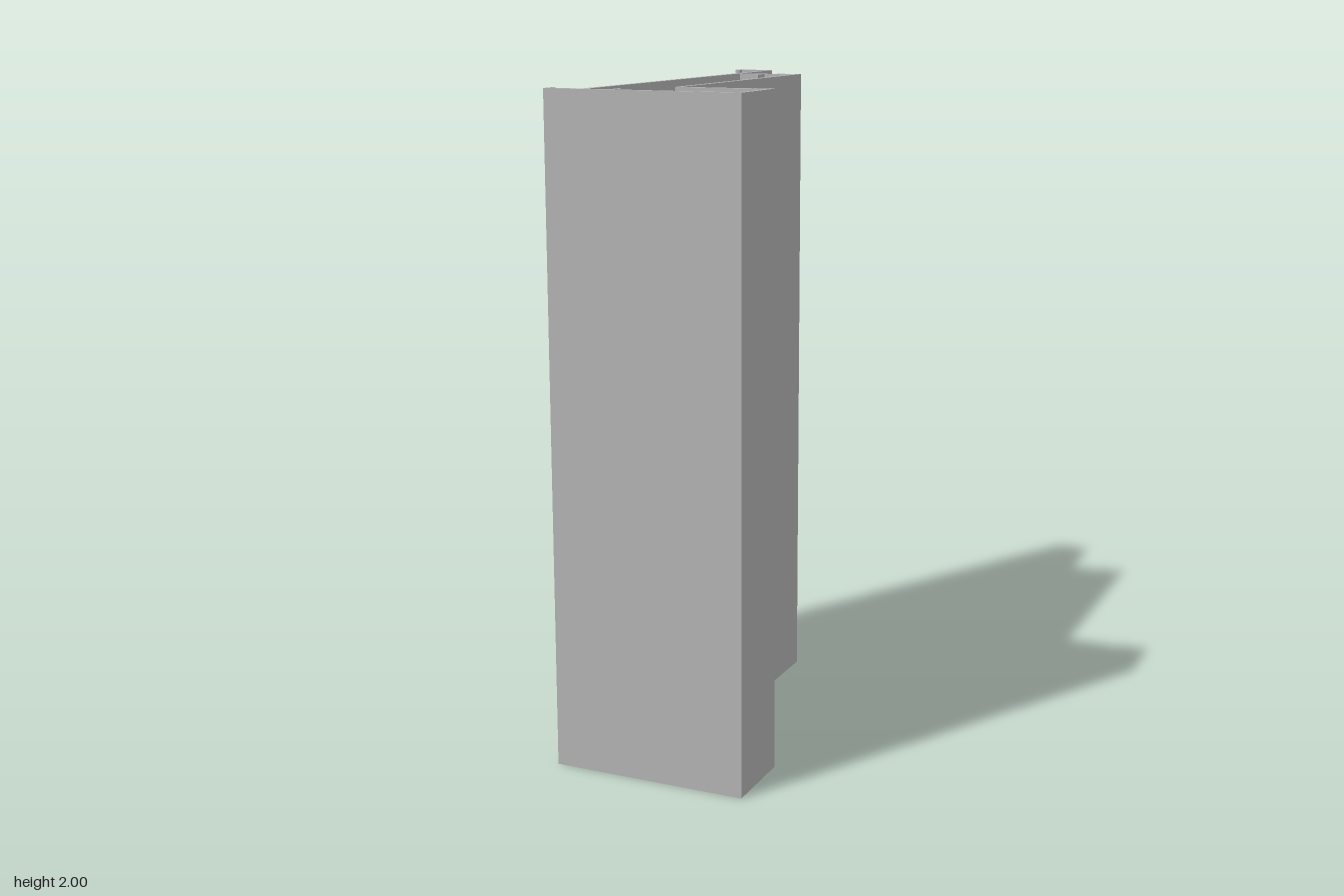
import * as THREE from 'three';
import { toCreasedNormals } from 'three/addons/utils/BufferGeometryUtils.js';

const HEIGHT = 2;

// Pair of facing clip hooks standing on a ledge at depth z, ending at the right edge
function clipHooks(right, z) {
  const left = right - 0.079, top = z - 0.025, under = z - 0.015;
  return [
    [left, z], [left, top], [left + 0.021, top], [left + 0.021, under], [left + 0.011, under], [left + 0.011, z],
    [right - 0.01, z], [right - 0.01, under], [right - 0.021, under], [right - 0.021, top], [right, top],
  ];
}

const trace = (path, points) => points.forEach(([x, z]) => path.lineTo(x, z));

// Cross-section of the profile, drawn in x and z
function crossSection() {
  const shape = new THREE.Shape();
  // rear flange with its lip and rounded corner
  shape.moveTo(-0.3, -0.63);
  trace(shape, [[-0.3, -0.665], [-0.193, -0.665]]);
  shape.absarc(-0.193, -0.645, 0.02, -Math.PI / 2, 0, false);
  trace(shape, [
    // rear ledge, side wall and front step
    [-0.173, -0.4], ...clipHooks(0.024, -0.4),
    [0.024, 0.448], ...clipHooks(0.3, 0.454 - 0.006),
    // front face and its lip
    [0.3, 0.665], [-0.3, 0.665], [-0.3, 0.622], [-0.285, 0.622], [-0.285, 0.649],
    // outside of the long web, back to the rear lip
    [-0.19, 0.649], [-0.19, -0.65], [-0.285, -0.65], [-0.285, -0.63],
  ]);
  shape.closePath();

  // hollow chamber with a short rib at each end
  const chamber = new THREE.Path();
  chamber.moveTo(-0.173, -0.383);
  trace(chamber, [
    [-0.102, -0.383], [-0.102, -0.332], [-0.086, -0.332], [-0.086, -0.383],
    [0.008, -0.383], [0.008, 0.465], [0.284, 0.465], [0.284, 0.649],
    [-0.086, 0.649], [-0.086, 0.592], [-0.102, 0.592], [-0.102, 0.649], [-0.173, 0.649],
  ]);
  chamber.closePath();
  shape.holes.push(chamber);
  return shape;
}

export function createModel() {
  const metal = new THREE.MeshStandardMaterial({ color: 0xb3b3b3 });
  metal.name = 'plain grey metal';

  // extrude, then stand the profile upright on the ground
  const geometry = new THREE.ExtrudeGeometry(crossSection(), { depth: HEIGHT, bevelEnabled: false, curveSegments: 6 });
  geometry.rotateX(Math.PI / 2);
  geometry.translate(0, HEIGHT, 0);

  const profile = new THREE.Mesh(toCreasedNormals(geometry, 0.6), metal);
  profile.name = 'extrudedFrameProfile';

  const model = new THREE.Group();
  model.name = 'frameProfile';
  model.add(profile);
  return model;
}
